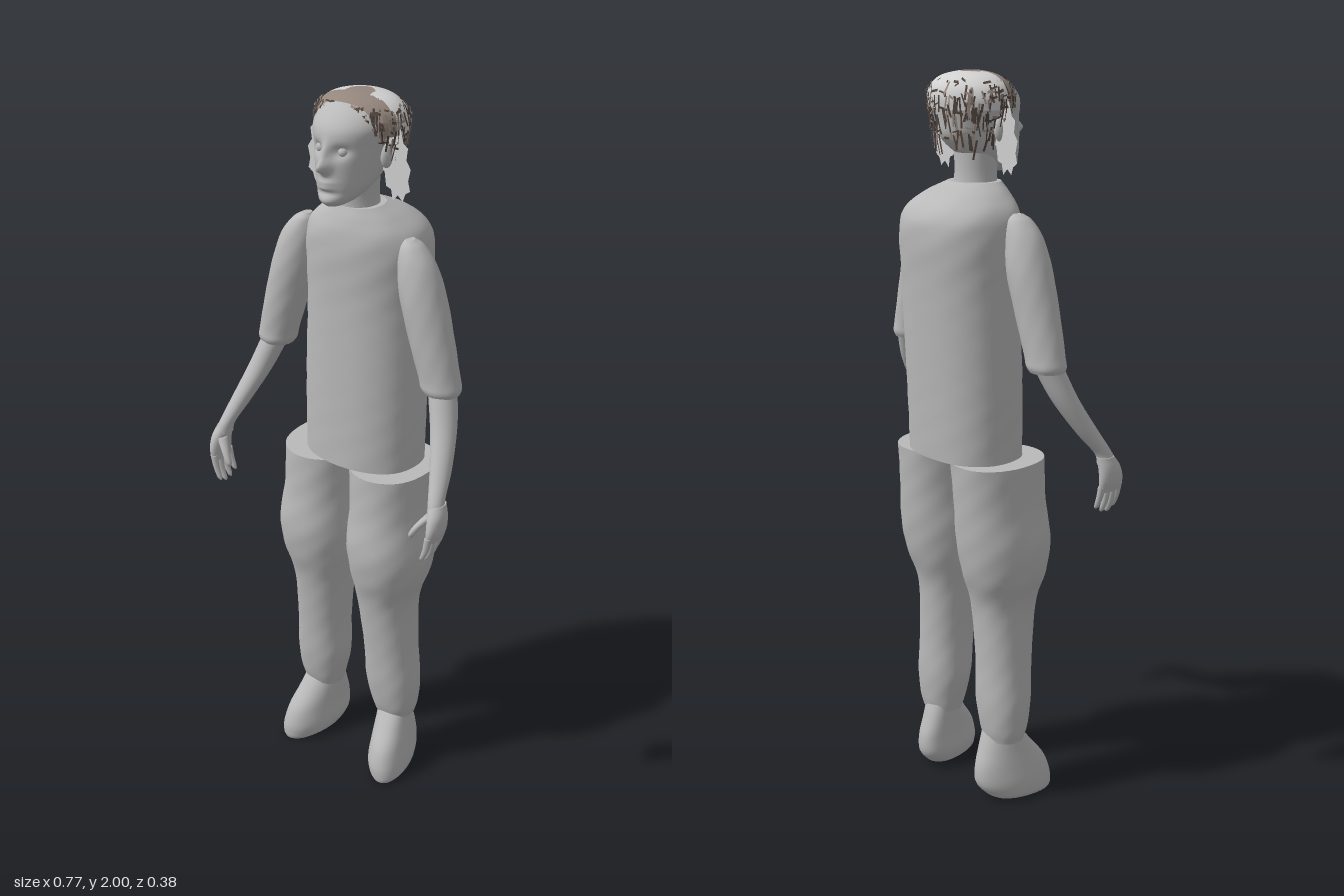
import * as THREE from 'three';

const mat = (name, color, side = THREE.FrontSide) => {
  const m = new THREE.MeshStandardMaterial({ color, side });
  m.name = name;
  return m;
};

// Smooth body through horizontal rings [x, y, z, radiusX, radiusZ], listed bottom to top
function loft(rings, { n = 28, steps = 6, power = 2, bump = 0, rule = null } = {}) {
  const mid = new THREE.CatmullRomCurve3(rings.map(r => new THREE.Vector3(r[0], r[1], r[2])), false, 'catmullrom');
  const rad = new THREE.CatmullRomCurve3(rings.map(r => new THREE.Vector3(r[3], r[4], 0)), false, 'catmullrom');
  const rows = (rings.length - 1) * steps, pos = [], idx = [];
  const p = new THREE.Vector3();
  const soft = v => Math.sign(v) * Math.abs(v) ** (2 / power);
  for (let j = 0; j <= rows; j++) {
    const c = mid.getPoint(j / rows), r = rad.getPoint(j / rows);
    for (let i = 0; i < n; i++) {
      const a = i / n * Math.PI * 2;
      const k = 1 + bump * Math.sin(a * 5 + c.y * 31) * Math.sin(c.y * 43 + a * 2);
      p.set(c.x + soft(Math.cos(a)) * r.x * k, c.y, c.z + soft(Math.sin(a)) * r.y * k);
      if (rule) rule(p);
      pos.push(p.x, p.y, p.z);
    }
  }
  for (let j = 0; j < rows; j++) for (let i = 0; i < n; i++) {
    const a = j * n + i, b = j * n + (i + 1) % n;
    idx.push(a, a + n, b, b, a + n, b + n);
  }
  // flat end caps with their own vertices
  for (const top of [false, true]) {
    const from = top ? rows * n : 0, base = pos.length / 3, r = rings[top ? rings.length - 1 : 0];
    for (let i = 0; i < n * 3; i++) pos.push(pos[from * 3 + i]);
    pos.push(r[0], r[1], r[2]);
    for (let i = 0; i < n; i++) {
      const a = base + i, b = base + (i + 1) % n;
      idx.push(base + n, top ? b : a, top ? a : b);
    }
  }
  const g = new THREE.BufferGeometry();
  g.setAttribute('position', new THREE.Float32BufferAttribute(pos, 3));
  g.setIndex(idx);
  g.computeVertexNormals();
  return g;
}

export function createModel() {
  const model = new THREE.Group();
  const grey = mat('bodyGrey', 0xb9b9b9);
  const pale = mat('paleGrey', 0xd2d2d2, THREE.DoubleSide);
  const tan = mat('hairTaupe', 0x94867d, THREE.DoubleSide);
  const dark = mat('hairDarkBrown', 0x51443d, THREE.DoubleSide);
  const add = (name, geo, material = grey, parent = model) => {
    const m = new THREE.Mesh(geo, material);
    m.name = name;
    parent.add(m);
    return m;
  };
  const CX = 0.014; // middle line of the head

  // Shirt body and neck
  add('shirt', loft([
    [.01, 1, -.035, .168, .125], [.01, 1.2, -.04, .17, .127], [.011, 1.45, -.048, .167, .132],
    [.012, 1.59, -.05, .168, .138], [.012, 1.65, -.045, .155, .13], [.012, 1.69, -.028, .115, .103],
    [.012, 1.72, 0, .07, .063]], { n: 48, power: 2.3, bump: .008 }));
  add('neck', loft([[.012, 1.68, 0, .062, .06], [.013, 1.74, .005, .055, .055], [.014, 1.82, .01, .06, .06]]));

  // Legs, feet, sleeves, forearms and hands
  for (const [s, side] of [[1, 'left'], [-1, 'right']]) {
    const limb = new THREE.Group();
    limb.name = side + 'Limbs';
    limb.position.x = .006;
    model.add(limb);
    const part = (name, rings, opt) =>
      add(side + name, loft(rings.map(([x, ...r]) => [s * x, ...r]), opt), grey, limb);

    part('TrouserLeg', [
      [.13, .18, -.015, .06, .05], [.13, .22, -.013, .07, .06], [.125, .3, -.01, .08, .07],
      [.12, .42, -.005, .077, .075], [.112, .58, 0, .084, .09], [.117, .68, -.002, .107, .117],
      [.117, .77, -.005, .117, .13], [.113, .88, -.015, .107, .13], [.109, 1, -.022, .109, .132]],
    { n: 36, power: 2.2, bump: .008 });
    part('Shoe', [
      [.148, 0, .035, .045, .085], [.146, .015, .025, .058, .098], [.142, .05, .012, .063, .11],
      [.14, .1, .003, .057, .102], [.136, .15, -.008, .052, .076], [.133, .2, -.018, .047, .05]],
    { n: 32, power: 2.2, rule: p => { p.x += s * (p.z - .01) * .18; } });
    part('Sleeve', [
      [.27, 1.265, 0, .048, .044], [.267, 1.28, 0, .055, .05], [.26, 1.31, 0, .056, .05],
      [.235, 1.4, 0, .06, .055], [.205, 1.51, -.002, .06, .059], [.185, 1.59, -.002, .05, .049],
      [.17, 1.635, -.003, .03, .034], [.162, 1.652, -.003, .012, .015]], { bump: .012 });
    part('Forearm', [
      [.356, 1.01, .138, .022, .028], [.35, 1.04, .13, .021, .025], [.332, 1.1, .088, .027, .032],
      [.302, 1.19, .035, .034, .037], [.272, 1.28, 0, .037, .04]]);
    part('Palm', [
      [.36, .935, .148, .014, .038], [.364, .965, .148, .019, .04],
      [.362, 1, .143, .022, .035], [.355, 1.03, .133, .021, .026]], { n: 20 });
    const lengths = [.885, .872, .868, .878];
    for (let f = 0; f < 4; f++) {
      const z = .118 + f * .0205, y = lengths[f];
      part('Finger' + (f + 1), [
        [.34, y, z, .003, .003], [.344, y + .008, z, .007, .007],
        [.354, y + .035, z, .009, .009], [.361, .95, z, .0105, .0105]], { n: 10, steps: 4 });
    }
    part('Thumb', [
      [.306, .932, .178, .004, .004], [.309, .945, .178, .009, .009],
      [.325, .972, .172, .011, .011], [.35, 1.003, .155, .014, .016]], { n: 12, steps: 4 });
    // Ear
    const ear = add(side + 'Ear', new THREE.SphereGeometry(1, 16, 12));
    ear.scale.set(.014, .032, .02);
    ear.position.set(CX + s * .09, 1.855, .01);
    // Eye
    const eye = add(side + 'Eye', new THREE.SphereGeometry(.0125, 14, 10));
    eye.position.set(CX + s * .033, 1.877, .109);
  }

  // Head: sockets, nose and lips are shaped by soft bumps
  const bell = (x, y, w, h) => Math.exp(-((x / w) ** 2) - ((y / h) ** 2));
  add('head', loft([
    [CX, 1.74, .09, .022, .035], [CX, 1.755, .078, .045, .058], [CX, 1.785, .05, .066, .087],
    [CX, 1.83, .022, .08, .115], [CX, 1.88, .015, .09, .118], [CX, 1.93, .01, .098, .115],
    [CX, 1.97, -.002, .078, .085], [CX, 1.99, -.008, .035, .04]], {
    n: 72, steps: 8, rule: p => {
      if (p.z < .05) return;
      const x = p.x - CX, y = p.y;
      p.z += .032 * bell(x, y - 1.842, .014, .016) + .016 * bell(x, y - 1.87, .01, .026)
        - .014 * bell(Math.abs(x) - .034, y - 1.878, .018, .014)
        + .007 * bell(x, y - 1.802, .024, .006) + .007 * bell(x, y - 1.789, .02, .006)
        - .005 * bell(x, y - 1.775, .03, .007) + .006 * bell(x, y - 1.755, .03, .014);
    }
  }));

  // Skull cap, pale behind and taupe at the front and crown patch
  const capRings = [
    [CX, 1.905, -.014, .12, .094], [CX, 1.935, -.014, .122, .097], [CX, 1.962, -.013, .11, .09],
    [CX, 1.983, -.012, .08, .07], [CX, 1.994, -.01, .035, .035], [CX, 1.996, -.01, .004, .004]];
  const cap = loft(capRings, { n: 64 });
  const split = [[], []], P = cap.attributes.position, I = cap.index.array;
  for (let t = 0; t < I.length; t += 3) {
    const tri = [I[t], I[t + 1], I[t + 2]];
    const x = tri.reduce((a, i) => a + P.getX(i), 0) / 3 - CX;
    const z = tri.reduce((a, i) => a + P.getZ(i), 0) / 3;
    split[z > .01 || ((x / .036) ** 2 + (Math.min(z, 0) / .04) ** 2 < 1 && z > -.04) ? 1 : 0].push(...tri);
  }
  cap.setIndex(split.flat());
  cap.addGroup(0, split[0].length, 0);
  cap.addGroup(split[0].length, split[1].length, 1);
  add('skullCap', cap, [pale, tan]);

  // Short crossing hair strands in a ring around the head
  let seed = 7;
  const rnd = () => (seed = (seed * 16807) % 2147483647) / 2147483647;
  const surface = (a, y, out) => {
    const k = y > 1.93 ? Math.sqrt(Math.max(.05, 1 - ((y - 1.93) / .075) ** 2)) : 1 - (1.93 - y) * 1.3;
    return [CX + Math.cos(a) * (.122 * k + out), y, -.012 + Math.sin(a) * (.096 * k + out)];
  };
  const strands = [[], []];
  for (let i = 0; i < 420; i++) {
    const a = rnd() * Math.PI * 2, front = Math.sin(a) > .45, back = Math.sin(a) < -.2;
    const low = front ? 1.93 : back ? 1.83 : 1.875;
    const y = low + rnd() * (1.975 - low), flat = rnd() < .35;
    const da = (rnd() - .5) * (flat ? .5 : .2), dy = flat ? (rnd() - .5) * .015 : -.03 - rnd() * .02;
    const w = .003 + rnd() * .004, out = .004 + rnd() * .006;
    const A = surface(a, y, out), D = surface(a + da, y + dy, out);
    const wide = flat ? 0 : w / .11, tall = flat ? w : 0;
    const B = surface(a + wide, y + tall, out), C = surface(a + da + wide, y + dy + tall, out);
    strands[i % 3 ? 0 : 1].push(...A, ...D, ...C, ...A, ...C, ...B);
  }
  strands.forEach((list, i) => {
    const g = new THREE.BufferGeometry();
    g.setAttribute('position', new THREE.Float32BufferAttribute(list, 3));
    g.computeVertexNormals();
    add(i ? 'lightHairStrands' : 'darkHairStrands', g, i ? tan : dark);
  });

  // Ragged flat hair sheets beside the face
  for (const s of [1, -1]) {
    const sheet = new THREE.Shape([
      [.06, 1.93], [.125, 1.925], [.135, 1.89], [.148, 1.88], [.144, 1.85], [.157, 1.83], [.15, 1.8],
      [.156, 1.775], [.142, 1.765], [.135, 1.745], [.12, 1.758], [.105, 1.742], [.1, 1.77],
      [.085, 1.775], [.08, 1.81], [.06, 1.83]].map(([x, y]) => new THREE.Vector2(CX + s * x, y)));
    add(s > 0 ? 'leftHairSheet' : 'rightHairSheet', new THREE.ShapeGeometry(sheet), pale).position.z = .005;
  }
  return model;
}
